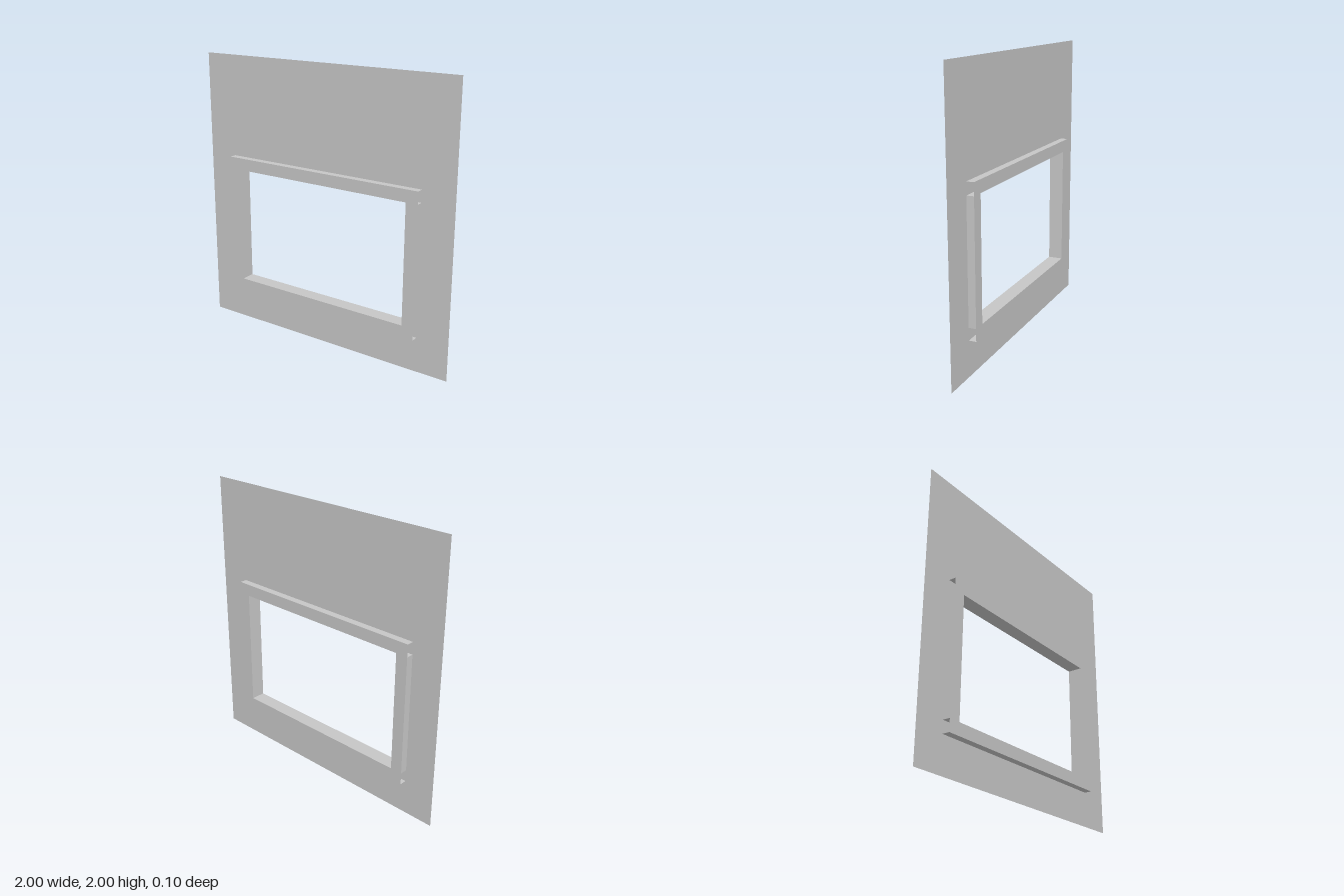
import * as THREE from 'three';

const grey = new THREE.MeshStandardMaterial({ color: 0xc6c6c6, side: THREE.DoubleSide });
grey.name = 'lightGrey';

// Frame outline and opening in the wall
const outer = { x0: -0.778, x1: 0.766, y0: 0.25, y1: 1.272 };
const inner = { x0: -0.692, x1: 0.68, y0: 0.336, y1: 1.186 };
const depth = 0.104;

// Hollow bar, open at both ends along the given axis
function hollowBar(name, x0, x1, y0, y1, axis) {
  const geometry = new THREE.BoxGeometry(x1 - x0, y1 - y0, depth);
  const firstEnd = axis === 'x' ? 0 : 12; // six indices per box side
  const index = Array.from(geometry.index.array);
  index.splice(firstEnd, 12);
  geometry.setIndex(index);
  geometry.clearGroups();
  const mesh = new THREE.Mesh(geometry, grey);
  mesh.name = name;
  mesh.position.set((x0 + x1) / 2, (y0 + y1) / 2, 0);
  return mesh;
}

export function createModel() {
  const model = new THREE.Group();
  model.name = 'wallWithWindow';

  // Thin wall sheet with a rectangular opening
  const sheet = new THREE.Shape();
  sheet.moveTo(-1, 0).lineTo(1, 0).lineTo(1, 2).lineTo(-1, 2).closePath();
  const opening = new THREE.Path();
  opening.moveTo(inner.x0, inner.y0).lineTo(inner.x0, inner.y1)
    .lineTo(inner.x1, inner.y1).lineTo(inner.x1, inner.y0).closePath();
  sheet.holes.push(opening);
  const wall = new THREE.Mesh(new THREE.ShapeGeometry(sheet), grey);
  wall.name = 'wall';
  model.add(wall);

  // Window frame: full-width rails with shorter jambs between them
  const frame = new THREE.Group();
  frame.name = 'windowFrame';
  frame.add(
    hollowBar('topRail', outer.x0, outer.x1, inner.y1, outer.y1, 'x'),
    hollowBar('bottomRail', outer.x0, outer.x1, outer.y0, inner.y0, 'x'),
    hollowBar('rightJamb', outer.x0, inner.x0, inner.y0, inner.y1, 'y'),
    hollowBar('leftJamb', inner.x1, outer.x1, inner.y0, inner.y1, 'y'),
  );
  model.add(frame);
  return model;
}
